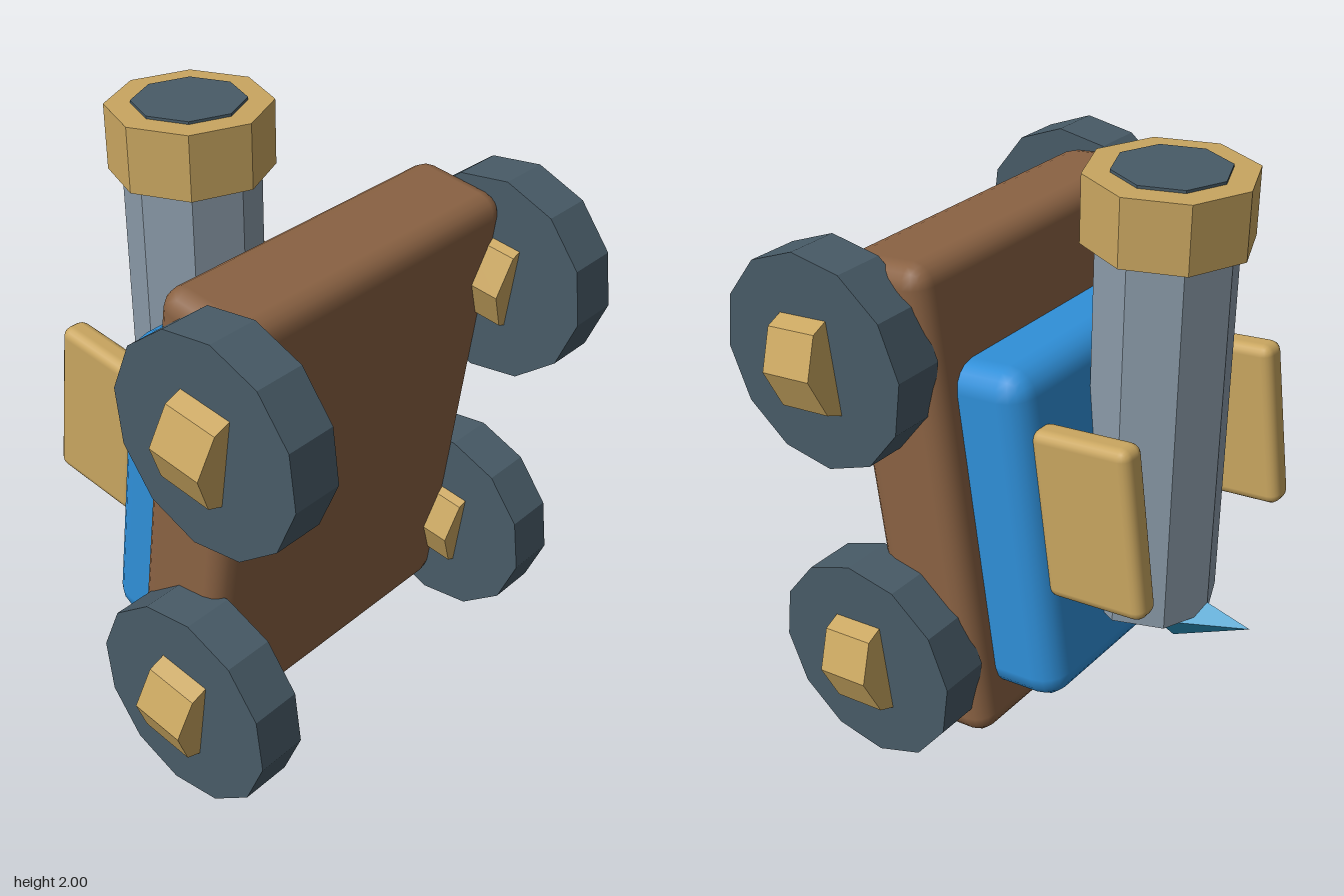
import * as THREE from 'three';
import { RoundedBoxGeometry } from 'three/addons/geometries/RoundedBoxGeometry.js';

const mat = (name, color) => {
  const m = new THREE.MeshStandardMaterial({ color });
  m.name = name;
  return m;
};

// Faceted copy of a geometry: one normal per face
function faceted(geometry) {
  const g = geometry.index ? geometry.toNonIndexed() : geometry;
  g.computeVertexNormals();
  return g;
}

function add(parent, name, geometry, material, x, y, z) {
  const mesh = new THREE.Mesh(geometry, material);
  mesh.name = name;
  mesh.position.set(x, y, z);
  parent.add(mesh);
  return mesh;
}

const prism = (rTop, rBottom, height, sides) =>
  faceted(new THREE.CylinderGeometry(rTop, rBottom, height, sides));

export function createModel() {
  const wood = mat('brown wood', 0x8a6243);
  const paint = mat('blue paint', 0x2f8fd8);
  const brass = mat('brass', 0xc9a660);
  const steel = mat('grey steel', 0x8a9aa8);
  const iron = mat('dark iron', 0x485b67);
  const spikeBlue = mat('spike blue', 0x2f9ac8);

  const model = new THREE.Group();
  model.name = 'cannonCart';

  // Cart, standing on end and leaning slightly forward
  const cart = new THREE.Group();
  cart.name = 'cart';
  cart.rotation.x = 0.122;
  model.add(cart);

  add(cart, 'chassis', new RoundedBoxGeometry(1.22, 1.66, 0.35, 2, 0.07), wood, 0, 0.927, 0.04);
  add(cart, 'upperBody', new RoundedBoxGeometry(1.02, 1.17, 0.35, 2, 0.09), paint, 0, 0.829, -0.197);

  const wheel = prism(0.357, 0.357, 0.175, 12).rotateZ(Math.PI / 2);
  const hub = prism(0.185, 0.185, 0.19, 8).rotateX(Math.PI / 2);
  const plate = new RoundedBoxGeometry(0.1, 0.585, 0.36, 2, 0.035);

  for (const [side, s] of [['left', 1], ['right', -1]]) {
    for (const [end, y] of [['Upper', 1.462], ['Lower', 0.39]]) {
      add(cart, `${side}${end}Wheel`, wheel, iron, s * 0.6625, y, 0.219);
      add(cart, `${side}${end}Hub`, hub, brass, s * 0.675, y, 0.219);
    }
    // Cheek plates either side of the barrel
    add(cart, `${side}CheekPlate`, plate, brass, s * 0.41, 0.932, -0.528);
  }

  // Barrel with muzzle ring and bore
  const cannon = new THREE.Group();
  cannon.name = 'cannon';
  cannon.position.set(0, 0.485, -0.36);
  cannon.rotation.x = -0.02;
  model.add(cannon);
  add(cannon, 'barrel', prism(0.225, 0.225, 1.4, 8), steel, 0, 0.7, 0);
  add(cannon, 'muzzleRing', prism(0.27, 0.27, 0.22, 8), brass, 0, 1.395, 0);
  add(cannon, 'bore', prism(0.185, 0.185, 0.06, 8), iron, 0, 1.484, 0);

  // Pointed spike at the breech: front point, back tip and a four-point ring
  const front = [0, 0.43, -0.31], tip = [0, 0.485, -0.75];
  const ring = [[0, 0.55, -0.47], [0.1, 0.451, -0.46], [0, 0.335, -0.46], [-0.1, 0.451, -0.46]];
  const corners = [];
  ring.forEach((p, i) => {
    const q = ring[(i + 1) % 4];
    corners.push(...front, ...q, ...p, ...tip, ...p, ...q);
  });
  const spike = new THREE.BufferGeometry();
  spike.setAttribute('position', new THREE.Float32BufferAttribute(corners, 3));
  add(model, 'spike', faceted(spike), spikeBlue, 0, 0, 0);

  return model;
}
